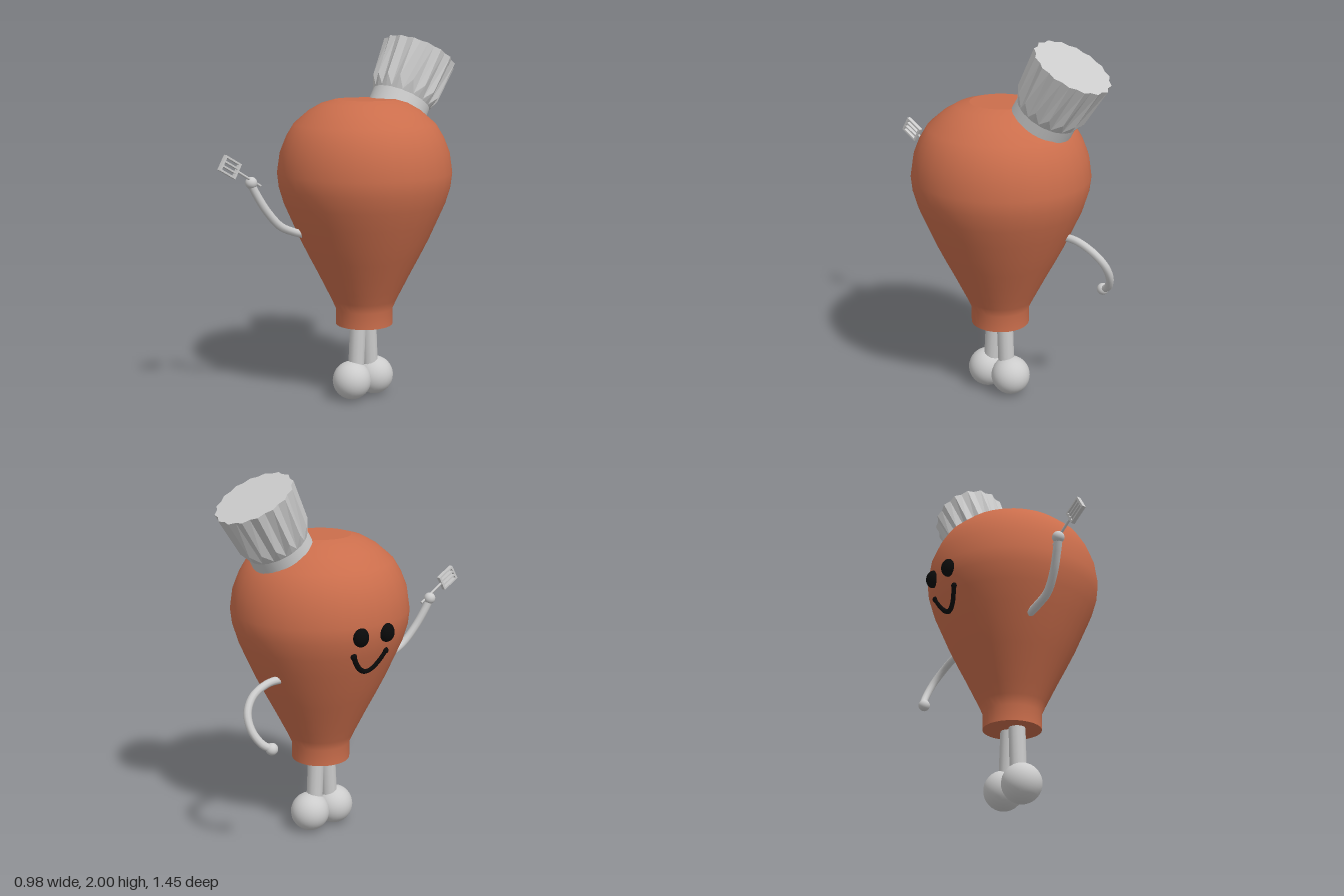
import * as THREE from 'three';

const AX = 0.012, AZ = -0.12; // vertical axis of the body
const mat = (color, extra = {}) => new THREE.MeshStandardMaterial({ color, ...extra });
const V = (x, y, z) => new THREE.Vector3(x, y, z);

// Body outline as [radius, height]
const PROFILE = [
  [0.158, 0.42], [0.158, 0.51], [0.18, 0.56], [0.21, 0.62], [0.255, 0.71], [0.302, 0.8],
  [0.352, 0.9], [0.396, 1.0], [0.44, 1.1], [0.467, 1.19], [0.476, 1.27], [0.46, 1.38],
  [0.428, 1.46], [0.386, 1.53], [0.305, 1.6], [0.235, 1.64], [0.165, 1.66],
];

// Body radius at a height
function radiusAt(y) {
  const i = PROFILE.findIndex((p) => p[1] >= y);
  const [r0, y0] = PROFILE[i - 1], [r1, y1] = PROFILE[i];
  return r0 + (r1 - r0) * (y - y0) / (y1 - y0);
}

// Point on the face side (-x) of the body
const onFace = (y, dz) => V(AX - Math.sqrt(radiusAt(y) ** 2 - dz * dz), y, AZ + dz);

// Pleated crown: zigzag rings, with ridges ending lower edge higher than valleys
function crownGeometry(pleats) {
  const n = pleats * 2, pos = [];
  const rings = [ // [valley radius, valley height, ridge radius, ridge height]
    [0.16, 0.07, 0.16, 0.07],
    [0.168, 0.09, 0.195, 0.15],
    [0.2, 0.37, 0.213, 0.37],
  ];
  const at = (k, i) => {
    const [vr, vy, rr, ry] = rings[k], ridge = i % 2, a = (i / n) * Math.PI * 2;
    const r = ridge ? rr : vr;
    return [r * Math.sin(a), ridge ? ry : vy, r * Math.cos(a)];
  };
  for (let i = 0; i < n; i++) {
    for (let k = 0; k < rings.length - 1; k++) {
      const a = at(k, i), b = at(k, i + 1), c = at(k + 1, i + 1), d = at(k + 1, i);
      pos.push(...a, ...b, ...c, ...a, ...c, ...d);
    }
    pos.push(...at(2, i), ...at(2, i + 1), 0, 0.37, 0);
  }
  const g = new THREE.BufferGeometry();
  g.setAttribute('position', new THREE.Float32BufferAttribute(pos, 3));
  g.computeVertexNormals();
  return g;
}

export function createModel() {
  const root = new THREE.Group();
  const grey = mat(0xcccccc), black = mat(0x0a0a0a), skin = mat(0xcb6e4c);
  const flatGrey = mat(0xcccccc, { flatShading: true });

  const add = (name, geo, material, p = V(0, 0, 0), parent = root) => {
    const m = new THREE.Mesh(geo, material);
    m.name = name;
    m.position.copy(p);
    parent.add(m);
    return m;
  };
  const ball = (name, r, p, material = grey) => add(name, new THREE.SphereGeometry(r, 28, 18), material, p);
  const tube = (name, pts, r, material = grey) =>
    add(name, new THREE.TubeGeometry(new THREE.CatmullRomCurve3(pts), 28, r, 10), material);
  const rod = (name, a, b, r, sides, material = grey) => {
    const m = add(name, new THREE.CylinderGeometry(r, r, a.distanceTo(b), sides), material, a.clone().lerp(b, 0.5));
    m.quaternion.setFromUnitVectors(V(0, 1, 0), b.clone().sub(a).normalize());
    return m;
  };

  // Body with flat ends
  const pts = PROFILE.map(([r, y]) => new THREE.Vector2(r, y));
  add('body', new THREE.LatheGeometry(pts, 32), skin, V(AX, 0, AZ));
  add('bodyTop', new THREE.CircleGeometry(0.165, 32), skin, V(AX, 1.66, AZ)).rotation.x = -Math.PI / 2;
  add('bodyBottom', new THREE.CircleGeometry(0.158, 32), skin, V(AX, 0.42, AZ)).rotation.x = Math.PI / 2;

  // Legs and round feet
  for (const [side, s] of [['left', -1], ['right', 1]]) {
    const z = -0.114;
    rod(side + 'Leg', V(AX, 0.1, z + s * 0.055), V(AX, 0.46, z + s * 0.036), 0.045, 12);
    ball(side + 'Foot', 0.107, V(AX, 0.107, z + s * 0.082));
  }

  // Face: eyes and smile
  for (const z of [-0.215, -0.052]) {
    const eye = ball('eye', 0.045, onFace(1.22, z - AZ), black);
    eye.scale.set(0.85, 1.1, 0.95);
  }
  const smile = [];
  for (let i = 0; i <= 10; i++) {
    const t = i / 5 - 1;
    smile.push(onFace(1.015 + 0.1 * t * t, -0.015 + 0.1 * t));
  }
  tube('smile', smile, 0.014, black);
  for (const p of [smile[0], smile[10]]) ball('smileEnd', 0.017, p, black);

  // Raised arm
  tube('raisedArm', [V(-0.11, 0.94, 0.2), V(-0.11, 0.965, 0.28), V(-0.108, 1.005, 0.365),
    V(-0.122, 1.09, 0.44), V(-0.14, 1.18, 0.492), V(-0.15, 1.24, 0.52)], 0.022);
  ball('raisedHand', 0.032, V(-0.15, 1.245, 0.518));

  // Slotted spatula, drawn in a plane and turned to face sideways
  rod('spatulaHandle', V(-0.142, 1.225, 0.465), V(-0.142, 1.315, 0.612), 0.007, 8);
  const L = 0.11, W = 0.086;
  const rect = (path, x0, y0, x1, y1) => {
    path.moveTo(x0, y0);
    path.lineTo(x1, y0);
    path.lineTo(x1, y1);
    path.lineTo(x0, y1);
    path.closePath();
    return path;
  };
  const blade = rect(new THREE.Shape(), -L / 2, -W / 2, L / 2, W / 2);
  for (const c of [-0.025, 0, 0.025])
    blade.holes.push(rect(new THREE.Path(), -L / 2 + 0.012, c - 0.008, L / 2 - 0.012, c + 0.008));
  const bladeGeo = new THREE.ExtrudeGeometry(blade, { depth: 0.022, bevelEnabled: false });
  bladeGeo.translate(0, 0, -0.011).rotateZ(Math.PI / 6).rotateY(-Math.PI / 2);
  add('spatulaBlade', bladeGeo, grey, V(-0.142, 1.34, 0.656));

  // Lowered arm
  tube('loweredArm', [V(-0.1, 0.96, -0.43), V(-0.1, 0.955, -0.54), V(-0.11, 0.91, -0.64),
    V(-0.14, 0.84, -0.695), V(-0.18, 0.76, -0.7), V(-0.22, 0.69, -0.665), V(-0.24, 0.66, -0.62)], 0.021);
  ball('loweredHand', 0.032, V(-0.24, 0.66, -0.62));

  // Tilted hat: band and pleated crown
  const hat = new THREE.Group();
  hat.name = 'hat';
  hat.position.set(-0.002, 1.575, -0.36);
  hat.rotation.set(-Math.PI / 6, 0, 0.035);
  root.add(hat);
  add('hatBand', new THREE.CylinderGeometry(0.165, 0.167, 0.14, 32), grey, V(0, 0.07, 0), hat);
  add('hatCrown', crownGeometry(16), flatGrey, V(0, 0, 0), hat);

  return root;
}
